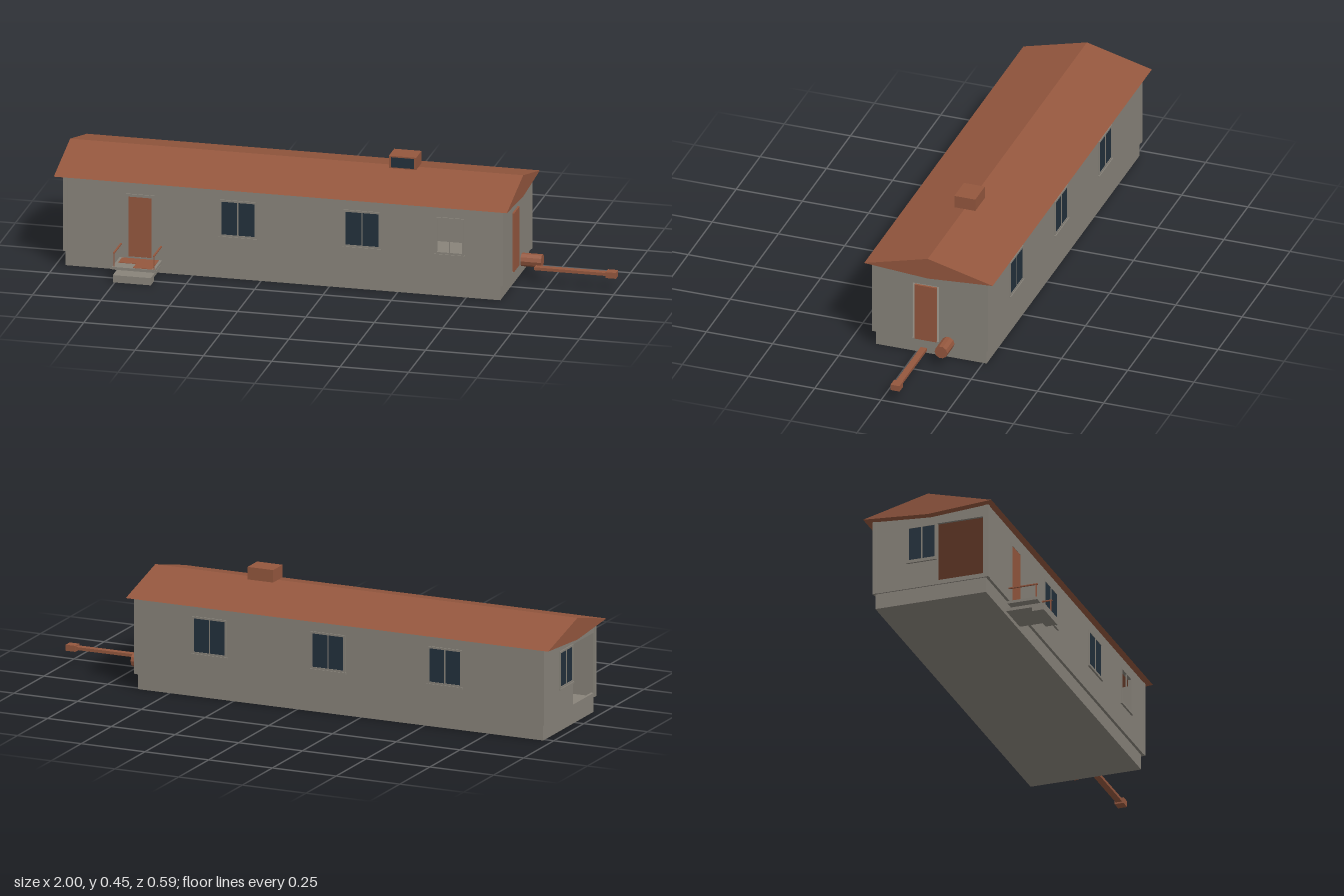
import * as THREE from 'three';

const mat = (name, color) => Object.assign(new THREE.MeshStandardMaterial({ color, flatShading: true }), { name });

export function createModel() {
  const grey = mat('grey siding', 0x88837a);
  const rust = mat('rust red', 0x94573e);
  const glass = mat('dark glass', 0x22303c);
  const model = new THREE.Group();
  model.name = 'mobileHome';

  const add = (parent, name, geometry, material) => {
    const mesh = new THREE.Mesh(geometry, material);
    mesh.name = name;
    parent.add(mesh);
    return mesh;
  };
  // Box given by its minimum and maximum on each axis
  const box = (parent, name, material, x0, x1, y0, y1, z0, z1) => {
    const mesh = add(parent, name, new THREE.BoxGeometry(x1 - x0, y1 - y0, z1 - z0), material);
    mesh.position.set((x0 + x1) / 2, (y0 + y1) / 2, (z0 + z1) / 2);
    return mesh;
  };
  const rect = (Type, x0, x1, y0, y1) => new Type([
    new THREE.Vector2(x0, y0), new THREE.Vector2(x1, y0),
    new THREE.Vector2(x1, y1), new THREE.Vector2(x0, y1)]);
  // Upright sheet with rectangular holes, from z0 outward by depth
  const sheet = (parent, name, material, outer, holes, z0, depth) => {
    const shape = rect(THREE.Shape, ...outer);
    shape.holes = holes.map((h) => rect(THREE.Path, ...h));
    const mesh = add(parent, name, new THREE.ExtrudeGeometry(shape, { depth, bevelEnabled: false }), material);
    mesh.position.z = z0;
    return mesh;
  };
  // One side of the house: local z = 0 is the outer wall face
  const side = (name, x, z, turn, u0, u1, holes = []) => {
    const g = new THREE.Group();
    g.name = name;
    g.position.set(x, 0, z);
    g.rotation.y = turn;
    model.add(g);
    sheet(g, 'wall', grey, [u0, u1, 0.057, 0.338], holes, -0.01, 0.01);
    for (const [a, b] of [[u0, u0 + 0.014], [u1 - 0.014, u1]]) {
      box(g, 'cornerTrim', grey, a, b, 0.057, 0.338, 0, 0.002);
    }
    return g;
  };
  // Two-pane window with frame and sill
  const windowAt = (parent, u, w, glazed = true) => {
    const g = new THREE.Group();
    g.name = 'window';
    parent.add(g);
    const a = u - w / 2, b = u + w / 2, y0 = 0.16, y1 = 0.297;
    const panes = [[a + 0.007, u - 0.002, y0 + 0.007, y1 - 0.007], [u + 0.002, b - 0.007, y0 + 0.007, y1 - 0.007]];
    sheet(g, 'windowFrame', grey, [a, b, y0, y1], panes, 0, 0.004);
    box(g, 'windowSill', grey, a - 0.003, b + 0.003, 0.154, 0.16, 0, 0.007);
    if (glazed) for (const p of panes) box(g, 'windowPane', glass, ...p, 0, 0.002);
  };

  // Base
  box(model, 'foundation', grey, -0.965, 0.625, 0, 0.057, -0.263, 0.155);

  // Front side, with one unglazed window
  const front = side('frontSide', 0, 0.165, 0, -0.97, 0.635, [[0.395, 0.49, 0.166, 0.291]]);
  windowAt(front, -0.332, 0.135);
  windowAt(front, 0.122, 0.135);
  windowAt(front, 0.442, 0.105, false);
  sheet(front, 'frontDoorFrame', grey, [-0.741, -0.637, 0.05, 0.291], [[-0.731, -0.647, 0.057, 0.281]], 0, 0.004);
  box(front, 'frontDoor', rust, -0.731, -0.647, 0.057, 0.281, 0, 0.003);

  // Back side
  const back = side('backSide', 0, -0.27, Math.PI, -0.635, 0.97);
  for (const x of [0.34, -0.125, -0.583]) windowAt(back, -x, 0.135);

  // Left end, door slightly smaller than its opening
  const left = side('leftEnd', 0.635, 0, Math.PI / 2, -0.165, 0.27, [[-0.015, 0.087, 0.058, 0.283]]);
  box(left, 'endDoor', rust, -0.005, 0.077, 0.057, 0.277, -0.006, 0.003);

  // Right end, window beside a wide opening
  const right = side('rightEnd', -0.97, 0, -Math.PI / 2, -0.27, 0.165, [[-0.027, 0.145, 0.073, 0.295]]);
  windowAt(right, -0.085, 0.11);

  // Low gable roof; its underside dips toward the middle
  const profile = new THREE.Shape([[-0.188, 0.34], [0.052, 0.323], [0.297, 0.34], [0.052, 0.403]]
    .map(([u, y]) => new THREE.Vector2(u, y)));
  const roof = add(model, 'roof', new THREE.ExtrudeGeometry(profile, { depth: 1.657, bevelEnabled: false }), rust);
  roof.rotation.y = Math.PI / 2;
  roof.position.x = -1;

  // Roof vent
  box(model, 'roofVent', rust, 0.175, 0.275, 0.403, 0.449, -0.093, -0.014);
  box(model, 'ventGlass', glass, 0.183, 0.267, 0.407, 0.444, -0.014, -0.012);

  // Gas tank and tow bar
  const tank = add(model, 'gasTank', new THREE.CylinderGeometry(0.024, 0.024, 0.075, 10), rust);
  tank.rotation.z = Math.PI / 2;
  tank.position.set(0.6725, 0.063, -0.121);
  box(model, 'towBar', rust, 0.7, 0.965, 0.054, 0.065, -0.065, -0.041);
  box(model, 'towCoupler', rust, 0.962, 1, 0.048, 0.07, -0.07, -0.036);

  // Porch and steps
  box(model, 'porchDeck', grey, -0.765, -0.61, 0.04, 0.05, 0.163, 0.275);
  box(model, 'deckMat', rust, -0.755, -0.62, 0.05, 0.0515, 0.169, 0.225);
  box(model, 'deckMat', rust, -0.69, -0.62, 0.05, 0.0515, 0.225, 0.27);
  box(model, 'stepTread', grey, -0.757, -0.618, 0.015, 0.027, 0.155, 0.255);
  box(model, 'stepBlock', grey, -0.757, -0.618, 0, 0.027, 0.253, 0.297);
  for (const x of [-0.759, -0.613]) {
    box(model, 'railPost', rust, x - 0.002, x + 0.002, 0.05, 0.1, 0.268, 0.272);
    box(model, 'handRail', rust, x - 0.003, x + 0.003, 0.1, 0.104, 0.165, 0.275);
  }
  return model;
}
